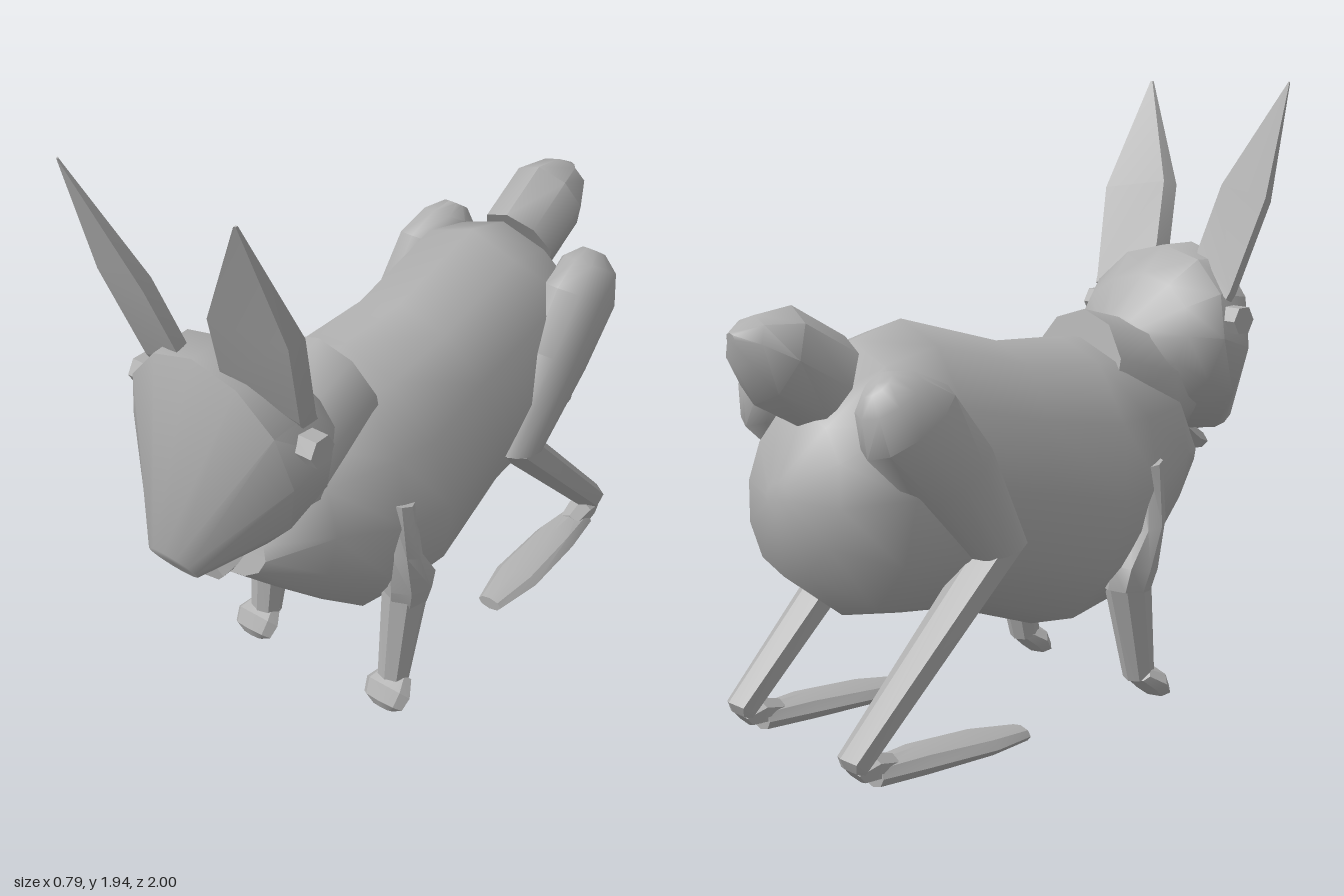
import * as THREE from 'three';
import { toCreasedNormals } from 'three/addons/utils/BufferGeometryUtils.js';

const fur = new THREE.MeshStandardMaterial({ color: 0xb0b0b0 });
fur.name = 'grey fur';

// Skin a list of equal-length point rings and close both ends
function skin(name, rings, crease) {
  const n = rings[0].length;
  const tris = [];
  const middle = (r) => r.reduce((s, p) => s.add(p), new THREE.Vector3()).divideScalar(n);
  for (let i = 0; i < rings.length - 1; i++) {
    for (let j = 0; j < n; j++) {
      const k = (j + 1) % n;
      const [a, b, c, d] = [rings[i][j], rings[i][k], rings[i + 1][k], rings[i + 1][j]];
      tris.push([a, b, c], [a, c, d]);
    }
  }
  const first = rings[0], last = rings[rings.length - 1];
  const m0 = middle(first), m1 = middle(last);
  for (let j = 0; j < n; j++) {
    const k = (j + 1) % n;
    tris.push([m0, first[k], first[j]], [m1, last[j], last[k]]);
  }
  // Turn the faces outward whatever direction the rings run in
  const v = new THREE.Vector3();
  const volume = tris.reduce((s, [a, b, c]) => s + a.dot(v.crossVectors(b, c)), 0);
  const pos = [];
  for (const [a, b, c] of tris) {
    for (const p of volume < 0 ? [a, c, b] : [a, b, c]) pos.push(p.x, p.y, p.z);
  }
  const geo = new THREE.BufferGeometry();
  geo.setAttribute('position', new THREE.Float32BufferAttribute(pos, 3));
  const mesh = new THREE.Mesh(toCreasedNormals(geo, crease), fur);
  mesh.name = name;
  return mesh;
}

// Section: [z, y of one edge, z, y of the opposite edge, half width, centre x]
function loft(name, sections, sides, crease, mirror = 1) {
  const rings = sections.map(([z0, y0, z1, y1, w, x = 0]) => {
    const ring = [];
    for (let j = 0; j < sides; j++) {
      const a = (j / sides) * Math.PI * 2;
      const t = (1 - Math.cos(a)) / 2;
      ring.push(new THREE.Vector3(mirror * x + w * Math.sin(a), y0 + (y1 - y0) * t, z0 + (z1 - z0) * t));
    }
    return ring;
  });
  return skin(name, rings, crease);
}

// Thin pointed ear: inner and outer edge points, given thickness
function ear(name, s) {
  const edges = [
    [[0.09, 1.36, 0.77], [0.285, 1.26, 0.7], 0.024],
    [[0.085, 1.4, 0.79], [0.29, 1.285, 0.715], 0.026],
    [[0.12, 1.61, 0.86], [0.345, 1.58, 0.81], 0.026],
    [[0.297, 1.95, 0.957], [0.303, 1.95, 0.955], 0.003],
  ];
  const normal = new THREE.Vector3(-s * 0.3, -0.3, 0.9).normalize();
  const rings = edges.map(([inner, outer, t]) => {
    const a = new THREE.Vector3(s * inner[0], inner[1], inner[2]);
    const b = new THREE.Vector3(s * outer[0], outer[1], outer[2]);
    return [[a, t], [b, t], [b, -t], [a, -t]].map(([p, d]) => p.clone().addScaledVector(normal, d));
  });
  return skin(name, rings, 0.3);
}

export function createModel() {
  const model = new THREE.Group();
  model.name = 'rabbit';

  // Trunk from chest to rump
  model.add(loft('body', [
    [0.71, 0.82, 0.76, 0.66, 0.13],
    [0.56, 1.08, 0.56, 0.47, 0.25],
    [0.32, 1.15, 0.35, 0.28, 0.335],
    [0.22, 1.165, 0.1, 0.24, 0.365],
    [-0.05, 1.18, -0.24, 0.37, 0.33],
    [-0.42, 1.285, -0.44, 0.4, 0.335],
    [-0.6, 1.24, -0.65, 0.44, 0.32],
    [-0.77, 1.06, -0.85, 0.6, 0.22],
    [-0.86, 0.87, -0.87, 0.79, 0.05],
  ], 12, 1.0));

  // Neck collar behind the head
  model.add(loft('neck', [
    [0.33, 1.24, 0.25, 0.85, 0.2],
    [0.52, 1.19, 0.58, 0.75, 0.22],
    [0.66, 1.15, 0.72, 0.8, 0.2],
  ], 10, 0.8));

  // Head with blunt nose, and the lower jaw
  model.add(loft('head', [
    [1.0, 0.875, 0.93, 0.765, 0.085],
    [0.84, 1.42, 0.74, 0.78, 0.3],
    [0.7, 1.42, 0.6, 0.87, 0.315],
    [0.6, 1.33, 0.51, 0.98, 0.245],
    [0.49, 1.2, 0.46, 1.07, 0.1],
  ], 12, 0.9));
  model.add(loft('jaw', [
    [0.86, 0.775, 0.85, 0.705, 0.08],
    [0.81, 0.81, 0.8, 0.708, 0.09],
    [0.7, 0.87, 0.71, 0.79, 0.1],
  ], 8, 0.5));

  // Short upturned tail
  model.add(loft('tail', [
    [-0.62, 1.255, -0.77, 1.01, 0.13],
    [-0.8, 1.36, -0.93, 1.1, 0.13],
    [-0.92, 1.345, -0.985, 1.21, 0.085],
    [-1.0, 1.305, -0.995, 1.27, 0.02],
  ], 8, 0.8));

  for (const [side, s] of [['left', 1], ['right', -1]]) {
    const add = (part, sections, sides, crease) =>
      model.add(loft(`${side} ${part}`, sections, sides, crease, s));

    model.add(ear(`${side} ear`, s));

    const eye = new THREE.Mesh(
      toCreasedNormals(new THREE.CylinderGeometry(0.048, 0.048, 0.08, 6), 0.3), fur);
    eye.rotation.set(0, Math.PI / 6, Math.PI / 2);
    eye.rotation.set(0, 0, Math.PI / 2);
    eye.position.set(s * 0.298, 1.2, 0.715);
    eye.name = `${side} eye`;
    model.add(eye);

    // Front leg
    add('upper arm', [
      [0.37, 0.8, 0.28, 0.78, 0.05, 0.29],
      [0.37, 0.62, 0.26, 0.58, 0.075, 0.29],
      [0.35, 0.45, 0.18, 0.48, 0.085, 0.28],
      [0.335, 0.38, 0.175, 0.4, 0.075, 0.27],
    ], 8, 0.7);
    add('forearm', [
      [0.34, 0.43, 0.18, 0.42, 0.072, 0.27],
      [0.37, 0.1, 0.275, 0.075, 0.052, 0.268],
    ], 8, 0.4);
    add('front paw', [
      [0.33, 0.12, 0.29, 0.075, 0.055, 0.275],
      [0.385, 0.1, 0.33, 0.035, 0.085, 0.275],
      [0.41, 0.05, 0.36, 0.01, 0.075, 0.275],
      [0.4, 0.015, 0.38, 0.008, 0.04, 0.275],
    ], 8, 0.5);

    // Hind leg
    add('thigh', [
      [-0.21, 0.65, -0.4, 0.62, 0.075, 0.29],
      [-0.36, 0.97, -0.6, 0.81, 0.11, 0.29],
      [-0.49, 1.14, -0.77, 0.97, 0.11, 0.29],
      [-0.6, 1.19, -0.78, 1.08, 0.09, 0.28],
      [-0.68, 1.2, -0.765, 1.14, 0.038, 0.275],
    ], 10, 0.8);
    add('shin', [
      [-0.22, 0.635, -0.4, 0.635, 0.075, 0.285],
      [-0.78, 0.1, -0.87, 0.15, 0.05, 0.275],
      [-0.8, 0.085, -0.855, 0.115, 0.04, 0.275],
    ], 6, 0.4);
    add('heel', [
      [-0.84, 0.11, -0.8, 0.06, 0.04, 0.275],
      [-0.77, 0.14, -0.74, 0.05, 0.05, 0.275],
      [-0.69, 0.115, -0.69, 0.05, 0.04, 0.275],
    ], 6, 0.4);
    add('hind foot', [
      [-0.76, 0.11, -0.76, 0.035, 0.05, 0.275],
      [-0.6, 0.11, -0.6, 0.03, 0.075, 0.275],
      [-0.36, 0.085, -0.36, 0.02, 0.08, 0.275],
      [-0.2, 0.06, -0.2, 0.015, 0.045, 0.275],
    ], 8, 0.5);
  }
  return model;
}
